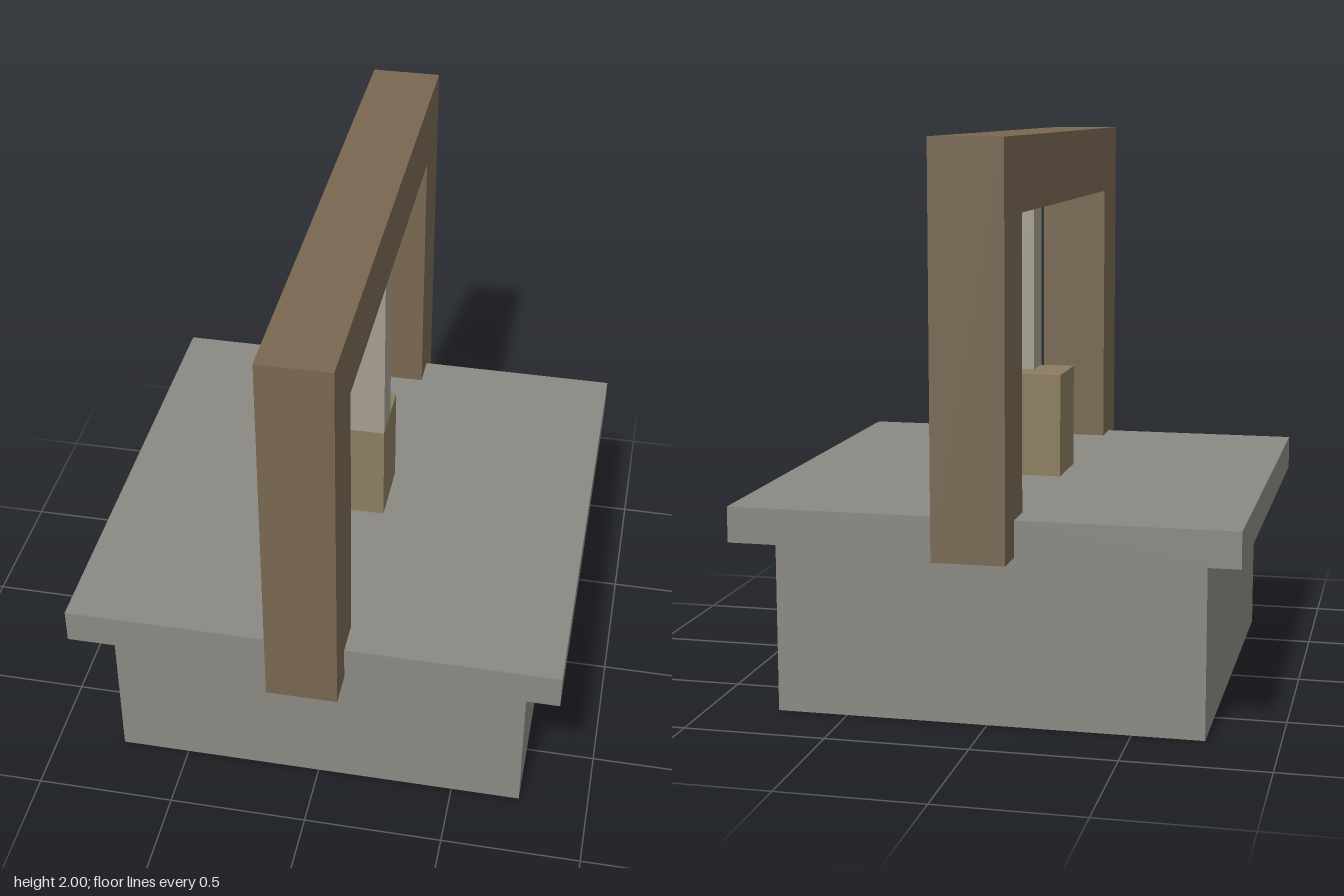
import * as THREE from 'three';

const material = (color) => new THREE.MeshStandardMaterial({ color, flatShading: true });
const outline = (points) => points.map(([x, y]) => new THREE.Vector2(x, y));
const square = (h) => outline([[-h, -h], [h, -h], [h, h], [-h, h]]);

// Extrude a plan outline upwards from y = 0
function extrudeUp(shape, height) {
  return new THREE.ExtrudeGeometry(shape, { depth: height, bevelEnabled: false }).rotateX(-Math.PI / 2);
}

export function createModel() {
  const group = new THREE.Group();
  const stone = material(0x8a8983);
  const wood = material(0x786751);
  const rope = material(0xa59f90);
  const pail = material(0x8b7d60);

  function add(name, geometry, mat, x = 0, y = 0, z = 0) {
    const mesh = new THREE.Mesh(geometry, mat);
    mesh.name = name;
    mesh.position.set(x, y, z);
    group.add(mesh);
  }

  // Hollow square well wall, open underneath
  const wall = new THREE.Shape(square(0.75));
  wall.holes.push(new THREE.Path(square(0.5)));
  add('wellWall', extrudeUp(wall, 0.625), stone);

  // Cap slab, notched front and back where the posts pass through
  const w = 0.875, n = 0.125, d = 0.75;
  const cap = new THREE.Shape(outline([
    [-w, -w], [-n, -w], [-n, -d], [n, -d], [n, -w], [w, -w],
    [w, w], [n, w], [n, d], [-n, d], [-n, w], [-w, w],
  ]));
  add('capSlab', extrudeUp(cap, 0.125), stone, 0, 0.625, 0);

  // Wooden arch: two posts and a crossbeam in one piece
  const arch = new THREE.Shape(outline([
    [-1, 0.625], [-0.75, 0.625], [-0.75, 1.75], [0.75, 1.75],
    [0.75, 0.625], [1, 0.625], [1, 2], [-1, 2],
  ]));
  const archGeometry = new THREE.ExtrudeGeometry(arch, { depth: 0.25, bevelEnabled: false });
  archGeometry.translate(0, 0, -0.125).rotateY(-Math.PI / 2);
  add('archFrame', archGeometry, wood);

  // Bucket, with the rope standing on its front corner
  add('bucket', new THREE.BoxGeometry(0.25, 0.375, 0.25), pail, 0, 0.9375, 0);
  add('rope', new THREE.BoxGeometry(0.125, 0.625, 0.125), rope, 0.0625, 1.4375, 0.0625);

  return group;
}
